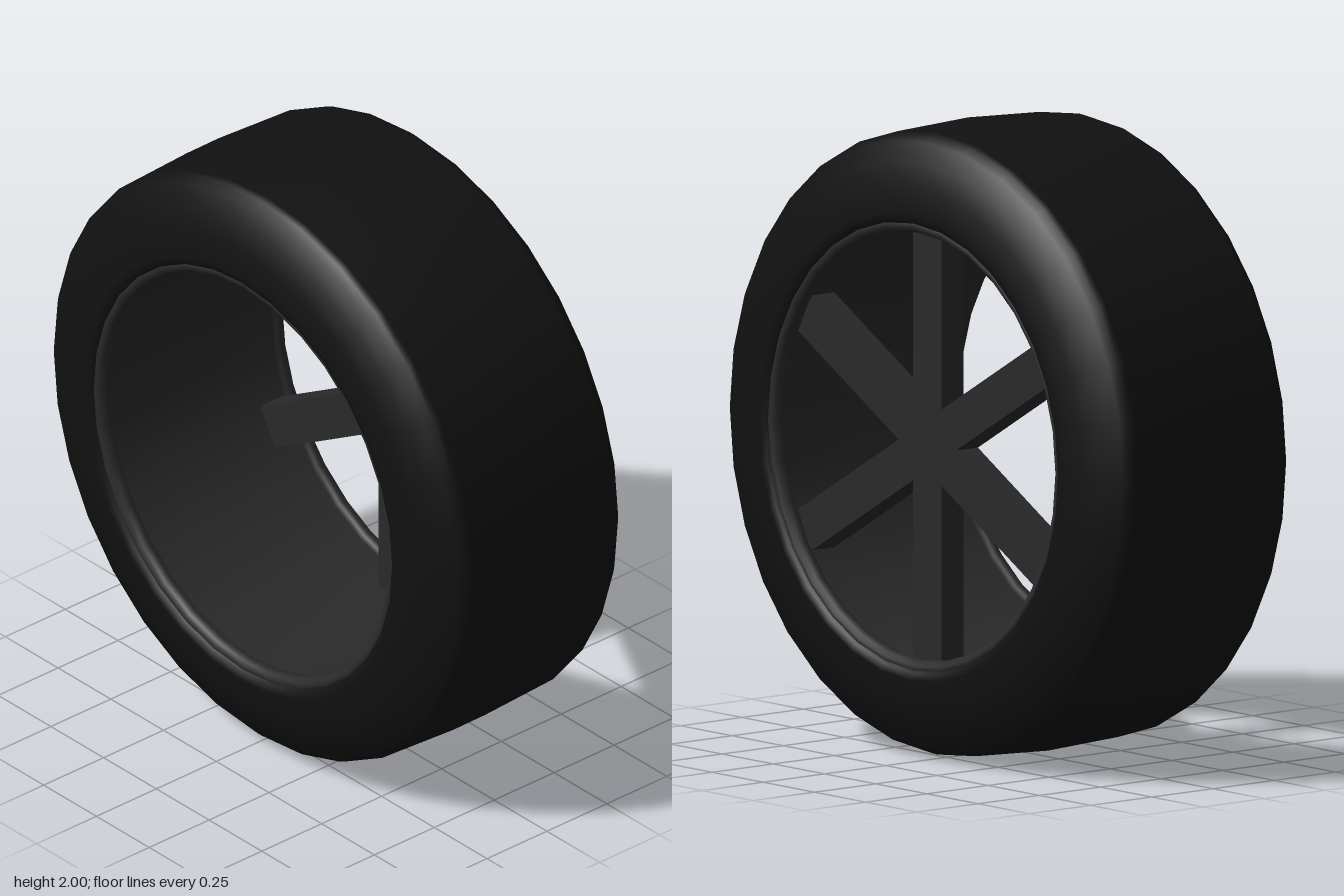
import * as THREE from 'three';

const SEGMENTS = 32;

// Revolves a [radius, x] profile around the wheel axle (the x axis).
function revolve(name, profile, material) {
  const points = profile.map(([r, x]) => new THREE.Vector2(r, x));
  const geometry = new THREE.LatheGeometry(points, SEGMENTS);
  geometry.rotateZ(-Math.PI / 2);
  const mesh = new THREE.Mesh(geometry, material);
  mesh.name = name;
  return mesh;
}

// Mirrors a half profile, given from the middle outwards, to the other side.
function mirrored(half) {
  const other = half.filter(([, x]) => x > 0).map(([r, x]) => [r, -x]).reverse();
  return [...other, ...half];
}

export function createModel() {
  const rubber = new THREE.MeshStandardMaterial({ color: 0x111111 });
  const metal = new THREE.MeshStandardMaterial({ color: 0x2a2a2a });
  const wheel = new THREE.Group();
  wheel.name = 'wheel';
  wheel.position.y = 1;

  // Tyre: slightly crowned tread, rounded shoulders, sidewalls down to the rim
  const tyre = mirrored([
    [1, 0], [0.987, 0.29], [0.98, 0.312], [0.96, 0.333], [0.9, 0.363],
    [0.83, 0.39], [0.74, 0.4], [0.715, 0.395], [0.705, 0.38],
  ]);
  wheel.add(revolve('tyre', tyre, rubber));

  // Rim: open barrel with a rolled lip at both ends, facing the axle
  const rim = mirrored([
    [0.693, 0], [0.693, 0.335], [0.681, 0.345], [0.678, 0.36],
    [0.683, 0.378], [0.695, 0.387], [0.708, 0.388], [0.716, 0.38],
  ]).reverse();
  wheel.add(revolve('rim', rim, metal));

  // Spokes: three bars crossing at the axle, set close to the +x side
  const spokes = new THREE.Group();
  spokes.name = 'spokes';
  const bar = new THREE.BoxGeometry(0.09, 1.39, 0.14);
  for (let i = 0; i < 3; i++) {
    const spoke = new THREE.Mesh(bar, metal);
    spoke.name = 'spokeBar';
    spoke.rotation.x = (i * Math.PI) / 3;
    spokes.add(spoke);
  }
  spokes.position.x = 0.285;
  wheel.add(spokes);

  const model = new THREE.Group();
  model.add(wheel);
  return model;
}
